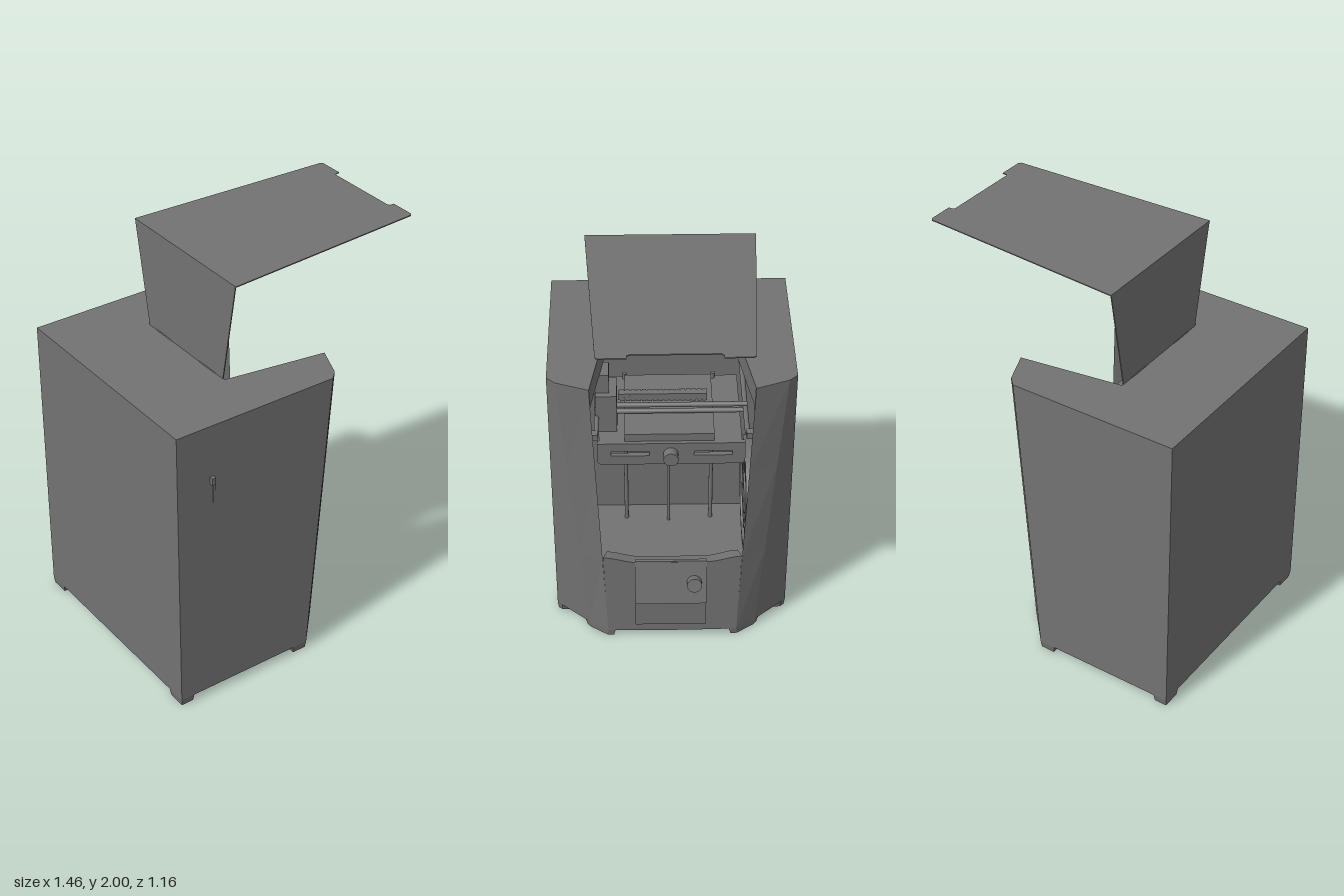
import * as THREE from 'three';

const mat = new THREE.MeshStandardMaterial({ color: 0x727272, side: THREE.DoubleSide });
const lerp = THREE.MathUtils.lerp;

export function createModel() {
  const root = new THREE.Group();
  root.name = 'desktopPrinter';
  const model = new THREE.Group();
  model.name = 'printerBody';
  model.position.z = -0.01;
  root.add(model);

  const add = (name, geo, x = 0, y = 0, z = 0, parent = model) => {
    const m = new THREE.Mesh(geo, mat);
    m.name = name;
    m.position.set(x, y, z);
    parent.add(m);
    return m;
  };
  // box from its limits
  const box = (name, x0, x1, y0, y1, z0, z1, parent) =>
    add(name, new THREE.BoxGeometry(x1 - x0, y1 - y0, z1 - z0), (x0 + x1) / 2, (y0 + y1) / 2, (z0 + z1) / 2, parent);
  // rod along an axis
  const rod = (name, axis, r, len, x, y, z, sides = 16) => {
    const g = new THREE.CylinderGeometry(r, r, len, sides);
    if (axis === 'x') g.rotateZ(Math.PI / 2);
    if (axis === 'z') g.rotateX(Math.PI / 2);
    return add(name, g, x, y, z);
  };
  // sheet through rows of [x, y, z] points
  const loft = (name, rows) => {
    const pos = [], idx = [], n = rows[0].length;
    rows.forEach(r => r.forEach(p => pos.push(...p)));
    for (let j = 0; j < rows.length - 1; j++)
      for (let i = 0; i < n - 1; i++) {
        const a = j * n + i;
        idx.push(a, a + 1, a + n, a + 1, a + n + 1, a + n);
      }
    let g = new THREE.BufferGeometry();
    g.setAttribute('position', new THREE.Float32BufferAttribute(pos, 3));
    g.setIndex(idx);
    g = g.toNonIndexed();
    g.computeVertexNormals();
    return add(name, g);
  };
  const shape = pts => new THREE.Shape(pts.map(p => new THREE.Vector2(p[0], p[1])));
  const extrude = (s, depth) => new THREE.ExtrudeGeometry(s, { depth, bevelEnabled: false, curveSegments: 32 });
  // horizontal slab from [x, z] points
  const slab = (name, pts, yTop, thick) => add(name, extrude(shape(pts), thick).rotateX(Math.PI / 2), 0, yTop, 0);
  const mirrorPts = pts => [...pts, ...pts.map(([x, z]) => [x, -z]).reverse()];

  // Outer shell: plan outline changes with height
  const Y0 = 0.035, Y1 = 1.48, LIP = 0.48;
  const at = (y, a, b) => lerp(a, b, (y - Y0) / (Y1 - Y0));
  const edge = y => [at(y, 0.203, 0.207), at(y, 0.315, 0.376)];
  const half = y => [edge(y), [at(y, 0.135, 0.145), at(y, 0.41, 0.53)], [at(y, -0.01, 0.105), 0.57], [-0.73, 0.57]];
  const ring = (y, f) => mirrorPts(f(y)).map(([x, z]) => [x, y, z]);
  loft('outerShell', [Y0, LIP, 1, Y1].map(y => ring(y, half)));

  // Gently bowed front wall, its lip and its inner face
  const frontRow = (y, rise = 0, inset = 0) => {
    const [ex, ez] = edge(y);
    return Array.from({ length: 21 }, (_, i) => {
      const t = i / 10 - 1;
      return [lerp(0.208, ex, t * t) - inset, y + rise * THREE.MathUtils.smoothstep(Math.abs(t), 0.5, 1), t * (ez - inset * 0.3)];
    });
  };
  loft('frontWall', [frontRow(Y0), frontRow(0.25), frontRow(LIP - 0.01, 0.03), frontRow(LIP - 0.02, 0.03, 0.06), frontRow(0.2, 0, 0.06)]);
  slab('basePlate', mirrorPts([[0.207, 0.1], ...half(Y0)]), Y0 + 0.01, 0.01);
  // Top cover with the hatch cut out of its front
  slab('topCover', mirrorPts([[-0.29, 0.3], ...half(Y1)]), Y1, 0.012);

  // Chamber: liner, floor and the rim under the hatch
  const liner = y => [edge(y), [0.12, 0.43], [-0.58, 0.43]];
  loft('chamberLiner', [0.2, LIP, 1.47].map(y => ring(y, liner)));
  slab('chamberFloor', mirrorPts([[0.12, 0.43], [-0.58, 0.43]]), 0.2, 0.01);
  loft('hatchRim', [1.37, 1.475].map(y => mirrorPts([[0.2, 0.374], [-0.29, 0.3]]).map(([x, z]) => [x, y, z])));

  // Feet: tapering blocks at the corners and at both ends of each chamfer
  const foot = (s, pts) => {
    const cx = pts.reduce((a, p) => a + p[0], 0) / pts.length;
    const cz = pts.reduce((a, p) => a + p[1], 0) / pts.length;
    const outline = k => [...pts, pts[0]].map(([x, z]) => [lerp(x, cx, k), s * lerp(z, cz, k)]);
    loft('foot', [[Y0, 0], [0, 0.12]].map(([y, k]) => outline(k).map(([x, z]) => [x, y, z])));
    slab('footSole', outline(0.12).slice(0, -1), 0.004, 0.004);
  };
  for (const s of [1, -1]) {
    foot(s, [[-0.73, 0.57], [-0.66, 0.57], [-0.66, 0.47], [-0.73, 0.47]]);
    foot(s, [[-0.09, 0.57], [-0.01, 0.57], [0.01, 0.548], [0.01, 0.47], [-0.09, 0.47]]);
    foot(s, [[0.11, 0.43], [0.135, 0.41], [0.203, 0.315], [0.205, 0.28], [0.11, 0.28]]);
  }

  // Open lid: rear upright and overhanging top with a notched end
  const upright = shape([[-0.29, 1.475], [0.29, 1.475], [0.387, 1.985], [-0.387, 1.985]]);
  add('lidUpright', extrude(upright, 0.005).rotateY(-Math.PI / 2), -0.288, 0, 0);
  const lid = slab('lidTop', mirrorPts([[0.992, 0.19], [1.0, 0.2], [1.02, 0.2], [1.02, 0.322], [1.01, 0.332], [0, 0.389]]), 0, 0.005);
  lid.position.set(-0.293, 1.987, 0);
  lid.rotation.z = 0.013;
  for (const z of [-0.17, 0.17]) rod('lidHinge', 'z', 0.005, 0.12, -0.29, 1.48, z);

  // Sloping front hatch with knob, and the plate below it
  const wedge = shape([[0.19, 0.475], [0.206, 0.475], [0.257, 0.25], [0.19, 0.25]]);
  add('frontHatch', extrude(wedge, 0.345), 0, 0, -0.165);
  rod('hatchKnob', 'x', 0.036, 0.06, 0.24, 0.365, -0.105, 24).rotation.z = 0.23;
  box('lowerPlate', 0.19, 0.214, 0.08, 0.22, -0.165, 0.18);

  // Side switch and cable clip
  box('sideSwitch', -0.56, -0.542, 1.185, 1.222, 0.57, 0.59);
  box('cableClip', -0.545, -0.535, 1.08, 1.185, 0.57, 0.574);

  // Build platform with slotted front bar and levelling knob
  box('buildPlate', -0.45, 0.04, 1.07, 1.11, -0.2, 0.22);
  box('platformArm', -0.5, 0.04, 1.04, 1.07, -0.33, 0.34);
  const bar = shape([[-0.33, 0.95], [0.335, 0.95], [0.35, 0.965], [0.35, 1.07], [-0.345, 1.07], [-0.345, 0.965]]);
  for (const z of [-0.195, 0.195])
    bar.holes.push(new THREE.Path([[-0.09, 1], [0.09, 1], [0.09, 1.025], [-0.09, 1.025]].map(p => new THREE.Vector2(z + p[0], p[1]))));
  add('platformBar', extrude(bar, 0.025).rotateY(-Math.PI / 2), 0.06, 0, 0);
  rod('levellingKnob', 'x', 0.035, 0.06, 0.08, 1.01, 0.005, 24);

  // Lift rods and lead screw
  for (const z of [-0.21, 0.22]) rod('liftRod', 'y', 0.01, 0.9, -0.48, 0.65, z);
  rod('leadScrew', 'y', 0.008, 0.85, -0.45, 0.63, 0.005);

  // Gantry: side rails, cross rods and cable chain
  for (const s of [1, -1]) {
    rod('sideRail', 'x', 0.012, 0.64, -0.22, 1.15, s * 0.35);
    box('railEnd', 0.08, 0.12, 1.135, 1.165, s * 0.36 - 0.015, s * 0.36 + 0.015);
  }
  for (const y of [1.13, 1.165]) rod('crossRod', 'z', 0.012, 0.72, -0.12, y, 0);
  box('cableChain', -0.165, -0.135, 1.183, 1.217, -0.17, 0.25);
  for (let i = 0; i < 16; i++) box('chainLink', -0.17, -0.13, 1.18, 1.22, -0.17 + i * 0.026, -0.149 + i * 0.026);

  // Print head at the +z end
  box('printHead', -0.2, -0.04, 1.07, 1.27, 0.255, 0.355);
  box('headTop', -0.18, -0.07, 1.27, 1.37, 0.29, 0.355);
  rod('nozzle', 'y', 0.015, 0.03, -0.12, 1.06, 0.3);

  // Filament spool on the -z wall
  const spool = new THREE.Group();
  spool.name = 'spool';
  spool.position.set(-0.25, 0.53, -0.39);
  model.add(spool);
  const annulus = (name, r0, r1, d) => {
    const s = new THREE.Shape().absarc(0, 0, r1, 0, Math.PI * 2);
    s.holes.push(new THREE.Path().absarc(0, 0, r0, 0, Math.PI * 2, true));
    add(name, extrude(s, d), 0, 0, -d / 2, spool);
  };
  annulus('spoolRim', 0.265, 0.29, 0.06);
  annulus('spoolRing', 0.15, 0.175, 0.05);
  annulus('spoolHub', 0.05, 0.1, 0.06);
  for (let i = 0; i < 14; i++) {
    const arm = new THREE.Group();
    arm.name = 'spoolSpoke';
    arm.rotation.z = i * Math.PI / 7;
    spool.add(arm);
    box('spoke', 0.08, 0.27, -0.014, 0.014, -0.02, 0.02, arm);
  }
  return root;
}
